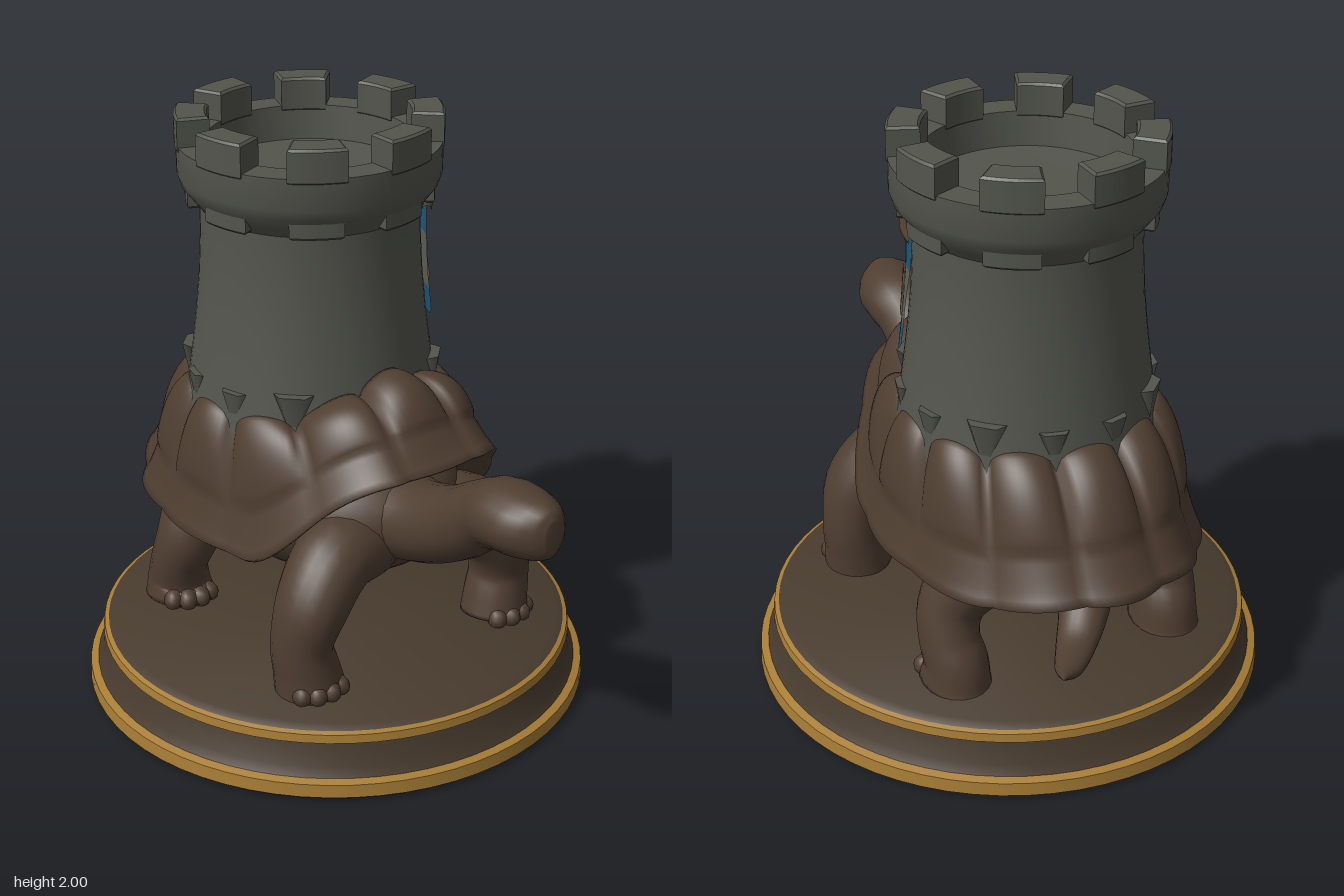
import * as THREE from 'three';
import { toCreasedNormals } from 'three/addons/utils/BufferGeometryUtils.js';

const mat = (name, color, side = THREE.FrontSide) => {
  const m = new THREE.MeshStandardMaterial({ color, side });
  m.name = name;
  return m;
};
const TZ = -0.215; // tower axis
const BZ = -0.083; // base axis
const V = (x, y, z) => new THREE.Vector3(x, y, z);
const smooth = THREE.MathUtils.smoothstep;

// Skin a list of closed rings (each an array of Vector3)
function loft(rings) {
  const n = rings[0].length, idx = [];
  for (let r = 0; r < rings.length - 1; r++) {
    for (let i = 0; i < n; i++) {
      const a = r * n + i, b = r * n + (i + 1) % n;
      idx.push(a, b, a + n, b, b + n, a + n);
    }
  }
  const g = new THREE.BufferGeometry().setFromPoints(rings.flat());
  g.setIndex(idx);
  g.computeVertexNormals();
  return g;
}

// Organic limb through nodes [x, y, z, radiusA, radiusB]
function limb(nodes, ref, steps = 24, sides = 20) {
  const curve = new THREE.CatmullRomCurve3(nodes.map(p => V(p[0], p[1], p[2])));
  const radii = new THREE.CatmullRomCurve3(nodes.map(p => V(p[3], p[4], 0)));
  const rings = [];
  for (let s = 0; s <= steps; s++) {
    const t = s / steps, c = curve.getPoint(t), rad = radii.getPoint(t);
    const T = curve.getTangent(t);
    const e1 = ref.clone().cross(T).normalize(), e2 = T.clone().cross(e1);
    const ring = k => Array.from({ length: sides }, (_, i) => {
      const a = i / sides * Math.PI * 2;
      return c.clone().addScaledVector(e1, Math.cos(a) * rad.x * k).addScaledVector(e2, Math.sin(a) * rad.y * k);
    });
    if (s === 0) rings.push(ring(0));
    rings.push(ring(1));
    if (s === steps) rings.push(ring(0));
  }
  return loft(rings);
}

const lathe = (pts, seg = 64) =>
  toCreasedNormals(new THREE.LatheGeometry(pts.map(p => new THREE.Vector2(p[0], p[1])), seg), 0.6);

// Curved block; angles run from +z toward +x
function sector(r0, r1, y0, y1, a0, a1) {
  const s = new THREE.Shape(), h = Math.PI / 2, b = 0.008;
  s.absarc(0, 0, r1 - b, a0 - h, a1 - h, false);
  s.absarc(0, 0, r0 + b, a1 - h, a0 - h, true);
  const g = new THREE.ExtrudeGeometry(s, {
    depth: y1 - y0 - 2 * b, curveSegments: 5, bevelSize: b, bevelThickness: b, bevelSegments: 1,
  });
  return g.rotateX(-h).translate(0, y0 + b, 0);
}

// Shell: flared rim rising to a ring around the tower, with raised scutes
function shellGeometry() {
  const N = 144, rows = 24, rings = [];
  const rim = a => {
    const c = Math.cos(a), z = Math.min(0.48, -0.22 + (c > 0 ? 0.74 : 0.69) * c);
    const scallop = 1 + 0.025 * Math.abs(Math.cos(6 * a));
    const y = 0.63 + 0.35 * smooth(z, 0.05, 0.5) + 0.05 * (1 - smooth(z, -0.9, -0.65));
    return V(0.52 * Math.sin(a) * scallop, y, z * scallop);
  };
  const ring = f => Array.from({ length: N }, (_, i) => f(i / N * Math.PI * 2));
  rings.push(ring(a => {
    const p = rim(a);
    return V(p.x * 0.5, (p.y + 0.85) / 2, TZ + (p.z - TZ) * 0.5);
  }));
  rings.push(ring(a => rim(a).add(V(0, -0.012, 0)).multiply(V(0.97, 1, 0.97))));
  for (let r = 0; r <= rows; r++) {
    const t = r / rows;
    rings.push(ring(a => {
      const p = rim(a), front = Math.pow(Math.max(0, Math.cos(a)), 6);
      const scallop = Math.pow(Math.abs(Math.cos(6 * a)), 0.5);
      const top = V(0.405 * Math.sin(a), 1.03 + 0.14 * front + 0.055 * scallop, TZ + 0.405 * Math.cos(a));
      const inward = Math.pow(t, 0.8);
      p.set(p.x + (top.x - p.x) * inward, p.y + (top.y - p.y) * t, p.z + (top.z - p.z) * inward);
      p.y += 0.06 * Math.sin(Math.PI * t);
      const rowShape = t < 0.25 ? 0 : Math.sin(Math.PI * (t - 0.25) / 0.75);
      const bump = 0.028 * Math.pow(Math.max(0, rowShape), 0.5) * scallop;
      return p.add(V(Math.sin(a) * bump, bump * 0.5, Math.cos(a) * bump));
    }));
  }
  rings.push(ring(a => V(0.33 * Math.sin(a), 1.03, TZ + 0.33 * Math.cos(a))));
  return loft(rings);
}

const towerRadius = y => 0.362 + 0.058 * Math.pow(Math.max(0, (1.6 - y) / 0.55), 1.5);

// Cloth strip hugging the tower; rows are [y, zBack, zFront]
function cloth(rows, lift) {
  const cols = 8, pts = [], idx = [];
  rows.forEach(([y, z0, z1], r) => {
    for (let c = 0; c <= cols; c++) {
      const z = z0 + (z1 - z0) * c / cols, R = towerRadius(y) + lift;
      pts.push(V(Math.sqrt(R * R - (z - TZ) ** 2), y, z));
      if (r && c) {
        const d = r * (cols + 1) + c, u = d - cols - 1;
        idx.push(u - 1, d - 1, u, d - 1, d, u);
      }
    }
  });
  const g = new THREE.BufferGeometry().setFromPoints(pts);
  g.setIndex(idx);
  g.computeVertexNormals();
  return g;
}

export function createModel() {
  const model = new THREE.Group();
  const brown = mat('turtle brown', 0x4f3e31), earth = mat('base brown', 0x483b2e);
  const gold = mat('gold trim', 0xa87d35), stone = mat('grey stone', 0x53554d);
  const blue = mat('banner blue', 0x1f5878, THREE.DoubleSide);
  const dusty = mat('banner dusty grey', 0x5f6259, THREE.DoubleSide);
  const tan = mat('banner tan', 0x66503d, THREE.DoubleSide);
  const add = (name, geo, material, parent = model) => {
    const m = new THREE.Mesh(geo, material);
    m.name = name;
    parent.add(m);
    return m;
  };
  const group = (name, z = 0) => {
    const g = new THREE.Group();
    g.name = name;
    g.position.z = z;
    model.add(g);
    return g;
  };

  // Round plinth with two gold mouldings
  const base = group('base', BZ);
  add('underside', lathe([[0, 0], [0.85, 0], [0.86, 0.01]]), earth, base);
  add('lowerTrim', lathe([[0.86, 0.01], [0.868, 0.015], [0.864, 0.06], [0.838, 0.068]]), gold, base);
  add('baseWall', lathe([[0.838, 0.068], [0.82, 0.1], [0.8, 0.185]]), earth, base);
  add('upperTrim', lathe([[0.8, 0.182], [0.814, 0.185], [0.81, 0.214], [0.795, 0.22]]), gold, base);
  add('baseTop', lathe([[0.795, 0.22], [0.77, 0.233], [0, 0.233]]), earth, base);

  // Turtle body, shell, neck and tail
  const belly = add('belly', new THREE.SphereGeometry(1, 40, 24), brown);
  belly.scale.set(0.41, 0.29, 0.56);
  belly.position.set(0, 0.72, -0.16);
  add('shell', shellGeometry(), brown);
  add('neckAndHead', limb([
    [0, 0.72, 0.15, 0.2, 0.16], [0, 0.755, 0.4, 0.14, 0.135], [0, 0.825, 0.57, 0.12, 0.122],
    [0, 0.905, 0.69, 0.115, 0.112], [0, 0.945, 0.78, 0.13, 0.115], [0, 0.952, 0.87, 0.128, 0.11],
    [0, 0.953, 0.94, 0.1, 0.1], [0, 0.953, 0.982, 0.062, 0.082], [0, 0.953, 1.0, 0.03, 0.055],
  ], V(0, 1, 0), 36), brown);
  add('tail', limb([
    [0, 0.64, -0.6, 0.12, 0.09], [0.05, 0.56, -0.72, 0.085, 0.07],
    [0.13, 0.5, -0.82, 0.065, 0.045], [0.21, 0.495, -0.92, 0.045, 0.03], [0.27, 0.53, -1.0, 0.006, 0.006],
  ], V(0, 1, 0)), brown);

  // Legs and toes, mirrored
  for (const s of [1, -1]) {
    const side = s > 0 ? 'left' : 'right';
    const legs = {
      FrontLeg: [[0.14, 0.66, 0.22, 0.13, 0.15], [0.28, 0.655, 0.27, 0.13, 0.14], [0.39, 0.54, 0.3, 0.115, 0.13],
        [0.425, 0.4, 0.29, 0.1, 0.11], [0.41, 0.3, 0.295, 0.11, 0.115], [0.4, 0.233, 0.3, 0.118, 0.12]],
      HindLeg: [[0.18, 0.66, -0.52, 0.15, 0.16], [0.3, 0.6, -0.45, 0.13, 0.14], [0.38, 0.48, -0.43, 0.11, 0.11],
        [0.4, 0.38, -0.46, 0.1, 0.1], [0.39, 0.3, -0.485, 0.105, 0.115], [0.39, 0.233, -0.48, 0.115, 0.14]],
    };
    for (const [name, nodes] of Object.entries(legs)) {
      add(side + name, limb(nodes.map(([x, ...rest]) => [x * s, ...rest]), V(0, 0, 1)), brown);
      const [fx, , fz, rx, rz] = nodes[5];
      for (let i = 0; i < 4; i++) {
        const a = (i - 1.5) * 0.48 + 0.15;
        const toe = add(side + name + 'Toe', new THREE.SphereGeometry(0.04, 12, 8), brown);
        toe.scale.set(0.9, 1, 1.2);
        toe.rotation.y = s * a;
        toe.position.set(s * (fx + Math.sin(a) * rx * 0.78), 0.255, fz + Math.cos(a) * rz * 0.74);
      }
    }
  }

  // Castle tower with hollow crown
  const tower = group('tower', TZ);
  const wall = [0.98, 1.05, 1.12, 1.2, 1.32, 1.45, 1.6, 1.69].map(y => [towerRadius(y), y]);
  add('towerWall', lathe([...wall, [0.385, 1.72], [0.42, 1.765], [0.432, 1.8], [0.433, 1.905],
    [0.335, 1.905], [0.325, 1.79], [0, 1.785]]), stone, tower);
  const step = Math.PI / 8;
  for (let k = 0; k < 8; k++) {
    const a = 2 * k * step;
    add('merlon', sector(0.33, 0.437, 1.885, 2, a, a + step * 1.03), stone, tower);
    add('corbel', sector(0.33, 0.408, 1.695, 1.78, a, a + step), stone, tower);
  }
  // Pointed stones wedged between the upper scutes
  for (let k = 1; k < 11; k++) {
    const a = (k + 0.5) * Math.PI / 6, big = k % 3 === 1 ? 1.3 : 1;
    const wedge = add('wedgeStone', new THREE.ConeGeometry(0.055 * big, 0.15 * big, 5).rotateX(Math.PI), stone, tower);
    wedge.scale.z = 0.5;
    wedge.position.set(Math.sin(a) * 0.405, 1.07, Math.cos(a) * 0.405);
    wedge.rotation.y = a;
  }

  // Hanging banner on the left wall
  add('bannerTop', cloth([[1.67, -0.185, 0.045], [1.6, -0.17, 0.03], [1.55, -0.16, 0.018]], 0.02), blue);
  add('bannerMiddle', cloth([[1.55, -0.16, 0.018], [1.48, -0.135, 0], [1.41, -0.12, -0.008], [1.35, -0.12, 0]], 0.02), dusty);
  add('bannerTail', cloth([[1.35, -0.12, 0], [1.28, -0.11, -0.005], [1.245, -0.07, -0.045]], 0.02), blue);
  add('bannerEmblem', cloth([[1.54, -0.1, -0.035], [1.51, -0.12, -0.02], [1.45, -0.1, -0.03],
    [1.4, -0.115, -0.015], [1.375, -0.1, -0.035]], 0.027), tan);
  const rodCurve = new THREE.CatmullRomCurve3([0.07, 0, -0.07, -0.14, -0.2].map(z =>
    V(Math.sqrt(0.385 ** 2 - (z - TZ) ** 2), 1.675, z)));
  add('bannerRod', new THREE.TubeGeometry(rodCurve, 16, 0.016, 8), brown);
  return model;
}
